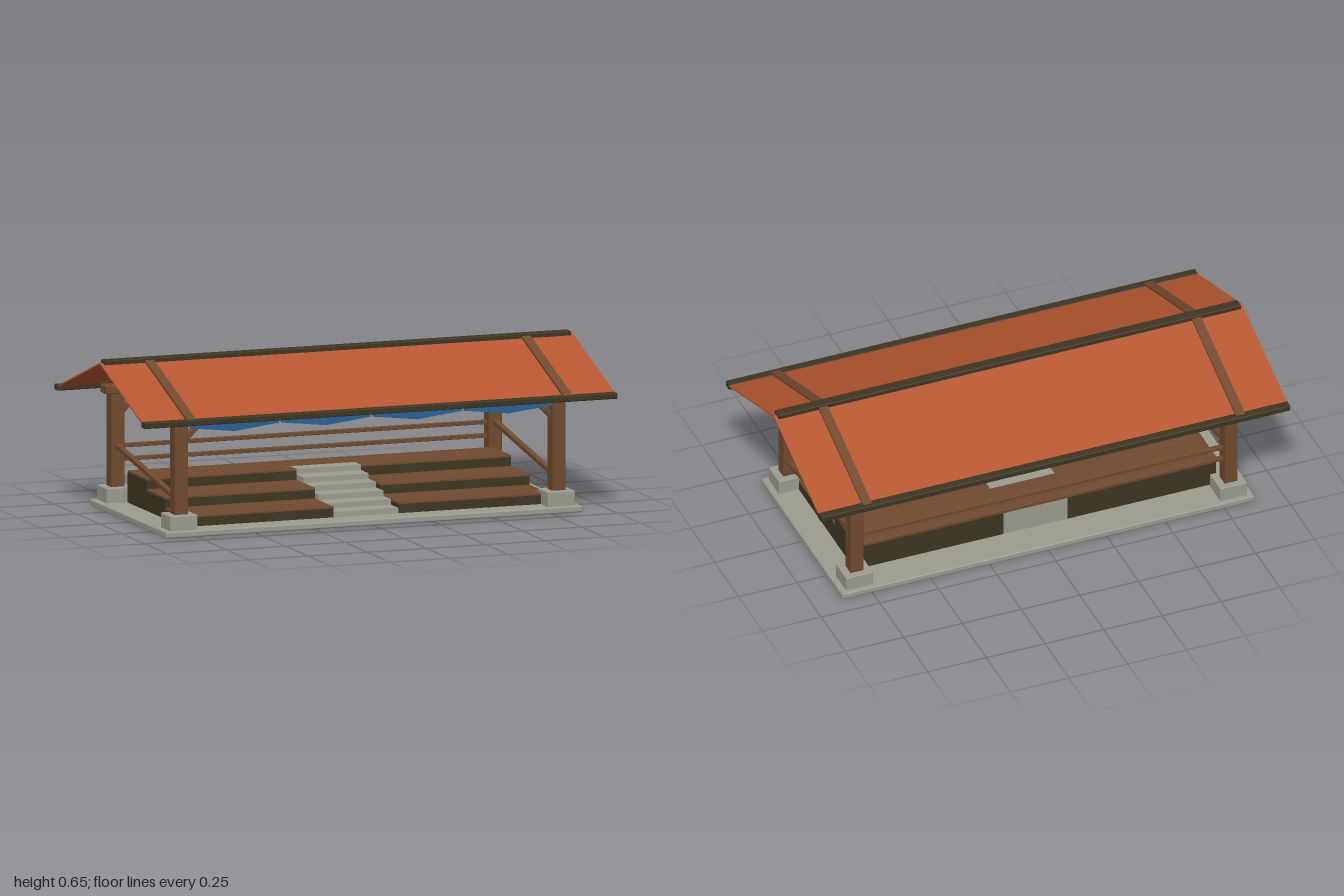
import * as THREE from 'three';
import { RoundedBoxGeometry } from 'three/addons/geometries/RoundedBoxGeometry.js';

const mat = (name, color, side = THREE.FrontSide) => {
  const m = new THREE.MeshStandardMaterial({ color, side });
  m.name = name;
  return m;
};

export function createModel() {
  const model = new THREE.Group();
  model.name = 'openPavilion';
  const wood = mat('brown wood', 0x704a2d);
  const darkWood = mat('dark wood', 0x3d3522);
  const stone = mat('grey stone', 0x9c9d8f);
  const roofing = mat('terracotta roof', 0xb5562f);
  const cloth = mat('blue cloth', 0x215c8e, THREE.DoubleSide);

  // Chamfered box given by its extents on each axis
  const block = (name, material, [x0, x1], [y0, y1], [z0, z1], bevel = 0.002) => {
    const size = [x1 - x0, y1 - y0, z1 - z0];
    const geometry = bevel
      ? new RoundedBoxGeometry(...size, 1, bevel)
      : new THREE.BoxGeometry(...size);
    const mesh = new THREE.Mesh(geometry, material);
    mesh.name = name;
    mesh.position.set((x0 + x1) / 2, (y0 + y1) / 2, (z0 + z1) / 2);
    model.add(mesh);
    return mesh;
  };

  // Straight bar between two points: width is horizontal, height is across it
  const bar = (name, material, from, to, width, height, bevel = 0.002) => {
    const a = new THREE.Vector3(...from);
    const b = new THREE.Vector3(...to);
    const size = [width, height, a.distanceTo(b)];
    const geometry = bevel
      ? new RoundedBoxGeometry(...size, 1, bevel)
      : new THREE.BoxGeometry(...size);
    const mesh = new THREE.Mesh(geometry, material);
    mesh.name = name;
    mesh.position.copy(a).add(b).multiplyScalar(0.5);
    mesh.lookAt(b);
    model.add(mesh);
  };

  const floorY = 0.026;
  const postX = 0.797;
  const postZ = 0.351;

  // Ground slab
  block('baseSlab', stone, [-0.88, 0.88], [0, floorY], [-0.425, 0.425], 0.006);

  // Footings, posts and corner braces
  for (const sx of [-1, 1]) {
    for (const sz of [-1, 1]) {
      const x = sx * postX;
      const z = sz * postZ;
      block('footing', stone, [x - 0.058, x + 0.058], [0.02, 0.085], [z - 0.055, z + 0.055], 0.004);
      block('post', wood, [x - 0.028, x + 0.028], [0.08, 0.47], [z - 0.028, z + 0.028], 0.003);
      bar('cornerBrace', wood, [sx * 0.775, 0.382, z], [sx * 0.685, 0.468, z], 0.026, 0.022);
    }
    // Sloping side rail
    bar('sideRail', wood, [sx * postX, 0.139, 0.34], [sx * postX, 0.251, -0.34], 0.022, 0.018);
  }

  // Back rails
  for (const y of [0.191, 0.245]) {
    block('backRail', wood, [-0.79, 0.79], [y - 0.008, y + 0.008], [-0.36, -0.342]);
  }

  // Long beams on the posts, slopes, rafters and eave boards
  const ridgeY = 0.641;
  const eaveY = 0.47;
  for (const s of [-1, 1]) {
    const z = s * postZ;
    block('topBeam', wood, [-0.85, 0.85], [0.458, 0.491], [z - 0.033, z + 0.033], 0.004);
    bar('roofPanel', roofing, [0, ridgeY, 0], [0, eaveY, s * 0.483], 1.996, 0.006, 0);
    for (const x of [-0.795, 0.795]) {
      bar('rafter', wood, [x, ridgeY, 0], [x, eaveY + 0.002, s * 0.48], 0.038, 0.025);
    }
    block('eaveBoard', darkWood, [-1, 1], [0.458, 0.482], [s * 0.482 - 0.018, s * 0.482 + 0.018], 0.004);
  }
  block('ridgeBeam', darkWood, [-0.985, 0.985], [0.63, 0.655], [-0.021, 0.021], 0.004);

  // Three seating tiers either side of the stairs, each decked with three planks
  const tiers = [
    { front: 0.33, back: 0.125, top: 0.07 },
    { front: 0.125, back: -0.08, top: 0.112 },
    { front: -0.08, back: -0.287, top: 0.155 },
  ];
  const stairX = 0.137;
  const deck = 0.009;
  tiers.forEach(({ front, back, top }, tier) => {
    const pitch = (front - back) / 3;
    for (const s of [-1, 1]) {
      const span = s > 0 ? [stairX, 0.77] : [-0.77, -stairX];
      block('tierBase', darkWood, span, [floorY, top - deck], [back, front], 0);
      for (let i = 0; i < 3; i++) {
        const z = front - i * pitch;
        const nose = i === 0 ? 0.003 : -0.001;
        block('tierPlank', wood, span, [top - deck, top], [z - pitch + 0.001, z + nose], 0.0015);
      }
    }
    // Rear planks run on across the stairs
    if (tier === 2) {
      for (let i = 1; i < 3; i++) {
        const z = front - i * pitch;
        block('rearPlank', wood, [-stairX, stairX], [top - deck, top], [z - pitch + 0.001, z - 0.001], 0.0015);
      }
    }
  });

  // Central stone stairs
  const rise = (0.155 - floorY) / 6;
  for (let i = 0; i < 6; i++) {
    const front = 0.33 - i * 0.082;
    const back = i === 5 ? -0.149 : front - 0.082;
    block('stairStep', stone, [-stairX, stairX], [floorY, floorY + rise * (i + 1)], [back, front], 0);
  }
  block('stairBack', stone, [-stairX, stairX], [floorY, 0.146], [-0.287, -0.149], 0);

  // Four pointed cloth valances under the front beam
  const width = 0.378;
  const outline = new THREE.Shape();
  outline.moveTo(-width / 2, 0);
  outline.lineTo(-width / 2, -0.042);
  outline.lineTo(0, -0.064);
  outline.lineTo(width / 2, -0.042);
  outline.lineTo(width / 2, 0);
  const valanceGeometry = new THREE.ShapeGeometry(outline);
  for (let i = 0; i < 4; i++) {
    const valance = new THREE.Mesh(valanceGeometry, cloth);
    valance.name = 'valance';
    valance.position.set((i - 1.5) * 0.386, 0.472, 0.3855);
    valance.rotation.x = -0.12;
    model.add(valance);
  }

  return model;
}
